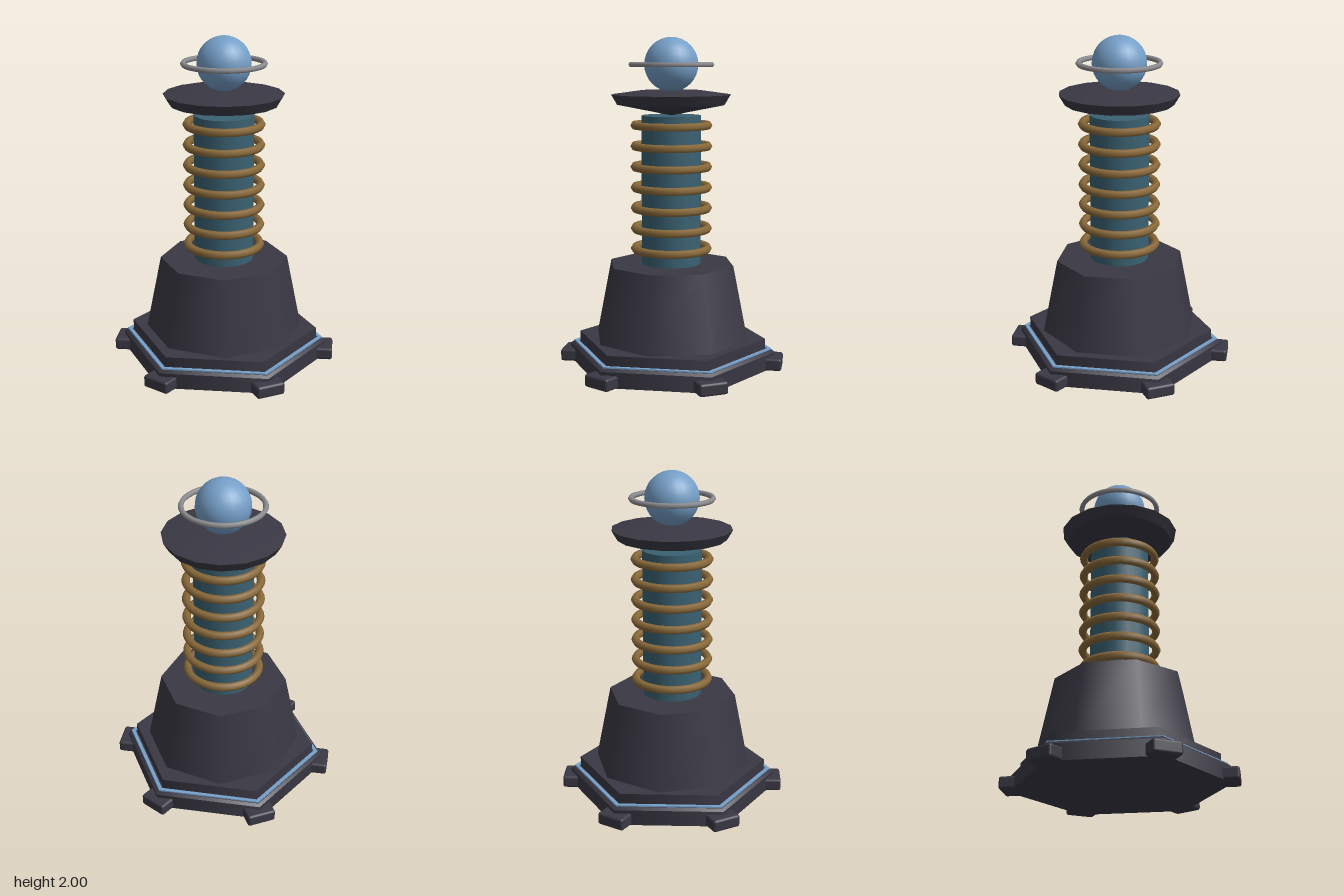
import * as THREE from 'three';
import { RoundedBoxGeometry } from 'three/addons/geometries/RoundedBoxGeometry.js';
import { toCreasedNormals } from 'three/addons/utils/BufferGeometryUtils.js';

const mat = (name, color) => {
  const m = new THREE.MeshStandardMaterial({ color });
  m.name = name;
  return m;
};

export function createModel() {
  const model = new THREE.Group();
  model.name = 'coilTower';
  const dark = mat('dark metal', 0x3a3844);
  const teal = mat('teal core', 0x3a6172);
  const bronze = mat('bronze coil', 0x8a6a3a);
  const blue = mat('glowing blue', 0x759fc8);
  const grey = mat('grey ring', 0x8e8e92);

  const add = (name, geometry, material, y = 0, parent = model) => {
    const mesh = new THREE.Mesh(geometry, material);
    mesh.name = name;
    mesh.position.y = y;
    parent.add(mesh);
    return mesh;
  };
  // Upright prism or frustum from y0 to y1
  const prism = (name, rTop, rBottom, y0, y1, sides, material) =>
    add(name, new THREE.CylinderGeometry(rTop, rBottom, y1 - y0, sides), material, (y0 + y1) / 2);

  // Hexagonal base with a chamfered upper edge, corners on the z axis
  prism('baseSlab', 0.64, 0.64, 0.005, 0.1, 6, dark);
  prism('baseChamfer', 0.622, 0.64, 0.1, 0.115, 6, dark);
  prism('basePlate', 0.58, 0.58, 0.11, 0.18, 6, dark);

  // Blue light strip around the base plate
  const hex = (r) => Array.from({ length: 6 }, (_, i) => {
    const a = Math.PI / 2 + i * Math.PI / 3;
    return new THREE.Vector2(r * Math.cos(a), r * Math.sin(a));
  });
  const stripShape = new THREE.Shape(hex(0.617));
  stripShape.holes.push(new THREE.Path(hex(0.592)));
  const strip = new THREE.ExtrudeGeometry(stripShape, { depth: 0.009, bevelEnabled: false });
  strip.rotateX(-Math.PI / 2);
  add('lightStrip', strip, blue, 0.114);

  // A rounded foot at each corner of the base
  const footGeometry = new RoundedBoxGeometry(0.176, 0.075, 0.17, 2, 0.015);
  for (let i = 0; i < 6; i++) {
    const a = i * Math.PI / 3;
    const foot = add('foot', footGeometry, dark, 0.0425);
    foot.position.x = 0.6 * Math.sin(a);
    foot.position.z = 0.6 * Math.cos(a);
    foot.rotation.y = a;
  }

  // Tapered octagonal pedestal
  prism('pedestal', 0.39, 0.482, 0.18, 0.635, 8, dark).rotation.y = Math.PI / 8;

  // Core column with seven coil rings
  prism('column', 0.18, 0.18, 0.635, 1.535, 16, teal);
  const coil = new THREE.TorusGeometry(0.222, 0.025, 6, 32);
  coil.rotateX(Math.PI / 2);
  for (let i = 0; i < 7; i++) add('coilRing', coil, bronze, 0.727 + i * 0.125);

  // Shallow dish with a pointed underside
  const profile = [[0, 1.535], [0.325, 1.6], [0.36, 1.66], [0.18, 1.685], [0, 1.685]]
    .map(([x, y]) => new THREE.Vector2(x, y));
  add('dish', toCreasedNormals(new THREE.LatheGeometry(profile, 16), 0.45), dark);

  // Orb and its surrounding ring
  add('orb', new THREE.SphereGeometry(0.162, 24, 16), blue, 1.838);
  const halo = new THREE.TorusGeometry(0.24, 0.016, 6, 40);
  halo.rotateX(Math.PI / 2);
  add('orbRing', halo, grey, 1.838);

  return model;
}
